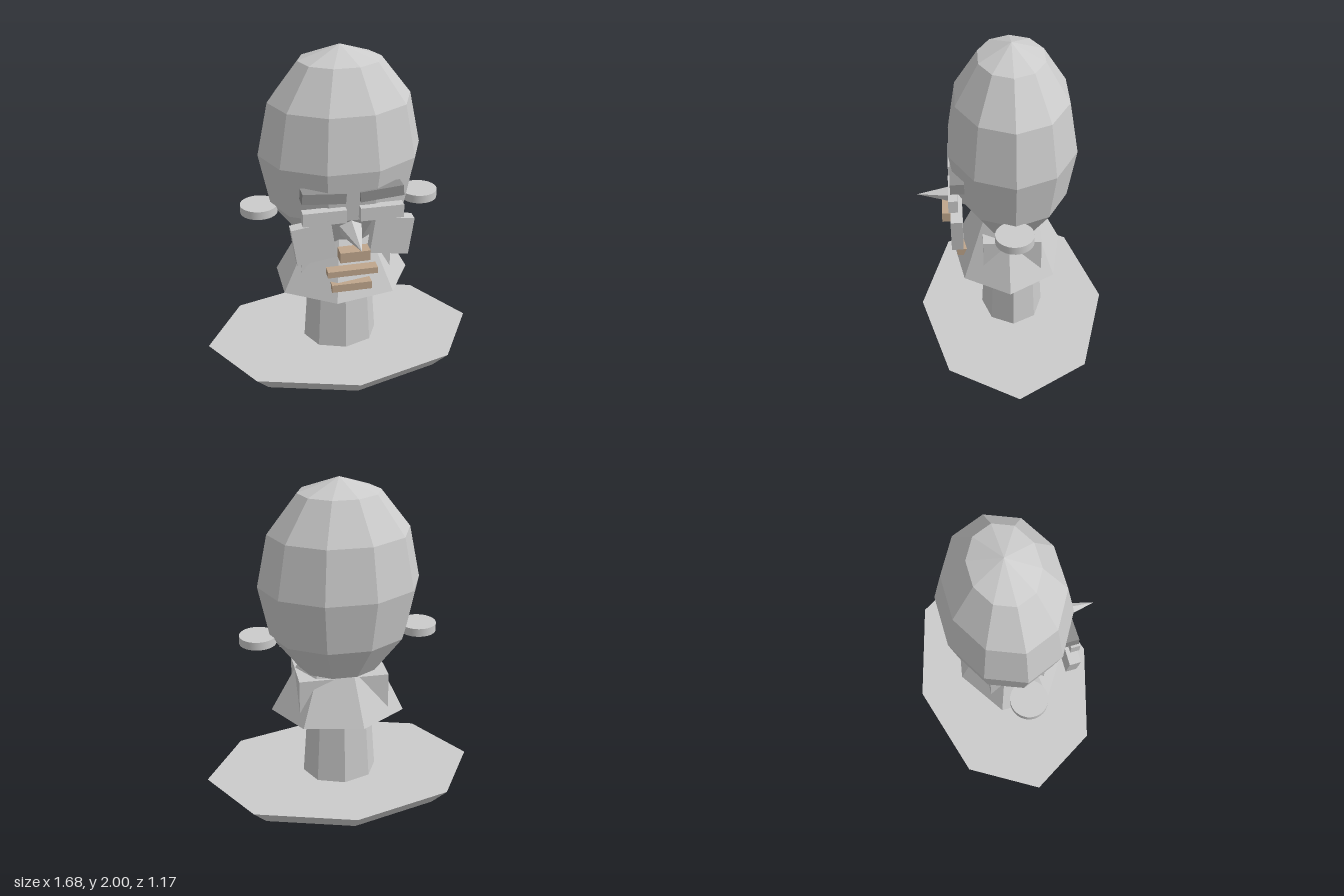
import * as THREE from 'three';

const material = (color) => new THREE.MeshStandardMaterial({ color, flatShading: true });
const grey = material(0xcccccc);
const dark = material(0x8f8f8f);
const pale = material(0xeeeeee);
const white = material(0xffffff);
const tan = material(0xbfa68c);

export function createModel() {
  const model = new THREE.Group();

  const add = (name, geometry, mat, x, y, z, scale = [1, 1, 1]) => {
    const mesh = new THREE.Mesh(geometry, mat);
    mesh.name = name;
    mesh.position.set(x, y, z);
    mesh.scale.set(...scale);
    model.add(mesh);
    return mesh;
  };
  const box = (name, w, h, d, mat, x, y, z) =>
    add(name, new THREE.BoxGeometry(w, h, d), mat, x, y, z);

  // Octagonal oval plinth and tapered neck
  add('base', new THREE.CylinderGeometry(0.84, 0.73, 0.1, 8), grey, 0, 0.05, 0, [1, 1, 0.695]);
  add('neck', new THREE.CylinderGeometry(0.195, 0.23, 0.5, 8), grey, 0, 0.35, 0, [1, 1, 0.84]);

  // Jaw block whose corners pierce the seven-sided beard cone
  box('jaw', 0.54, 0.29, 0.345, grey, 0, 0.675, 0.01);
  const beard = new THREE.ConeGeometry(0.418, 0.755, 7).rotateY(Math.PI / 2);
  add('beard', beard, grey, 0, 0.9225, 0.03, [1, 1, 0.825]);

  // Faceted egg-shaped head
  add('head', new THREE.SphereGeometry(1, 10, 6), grey, 0, 1.375, 0, [0.48, 0.625, 0.383]);

  // Paired features
  for (const side of [-1, 1]) {
    const label = side > 0 ? 'left' : 'right';
    const ear = add(label + 'Ear', new THREE.CylinderGeometry(0.11, 0.11, 0.05, 32), grey, side * 0.487, 1.045, 0.01);
    ear.material = new THREE.MeshStandardMaterial({ color: 0xcccccc });
    box(label + 'Brow', 0.25, 0.062, 0.08, dark, side * 0.165, 1.235, 0.32).rotation.z = side * 0.08;
    box(label + 'Eye', 0.25, 0.08, 0.055, white, side * 0.165, 1.122, 0.347);
    box(label + 'Cheek', 0.23, 0.23, 0.068, pale, side * 0.227, 0.963, 0.331).rotation.z = -side * 0.14;
  }

  // Pointed nose
  const nose = new THREE.ConeGeometry(0.1, 0.4, 5).rotateY(Math.PI).rotateX(Math.PI / 2);
  add('nose', nose, white, 0, 1.0, 0.365);

  // Moustache and lips
  box('moustache', 0.175, 0.063, 0.08, tan, 0, 0.883, 0.38);
  box('upperLip', 0.296, 0.038, 0.065, tan, 0, 0.745, 0.333);
  box('lowerLip', 0.238, 0.048, 0.065, tan, 0, 0.632, 0.307);

  return model;
}
